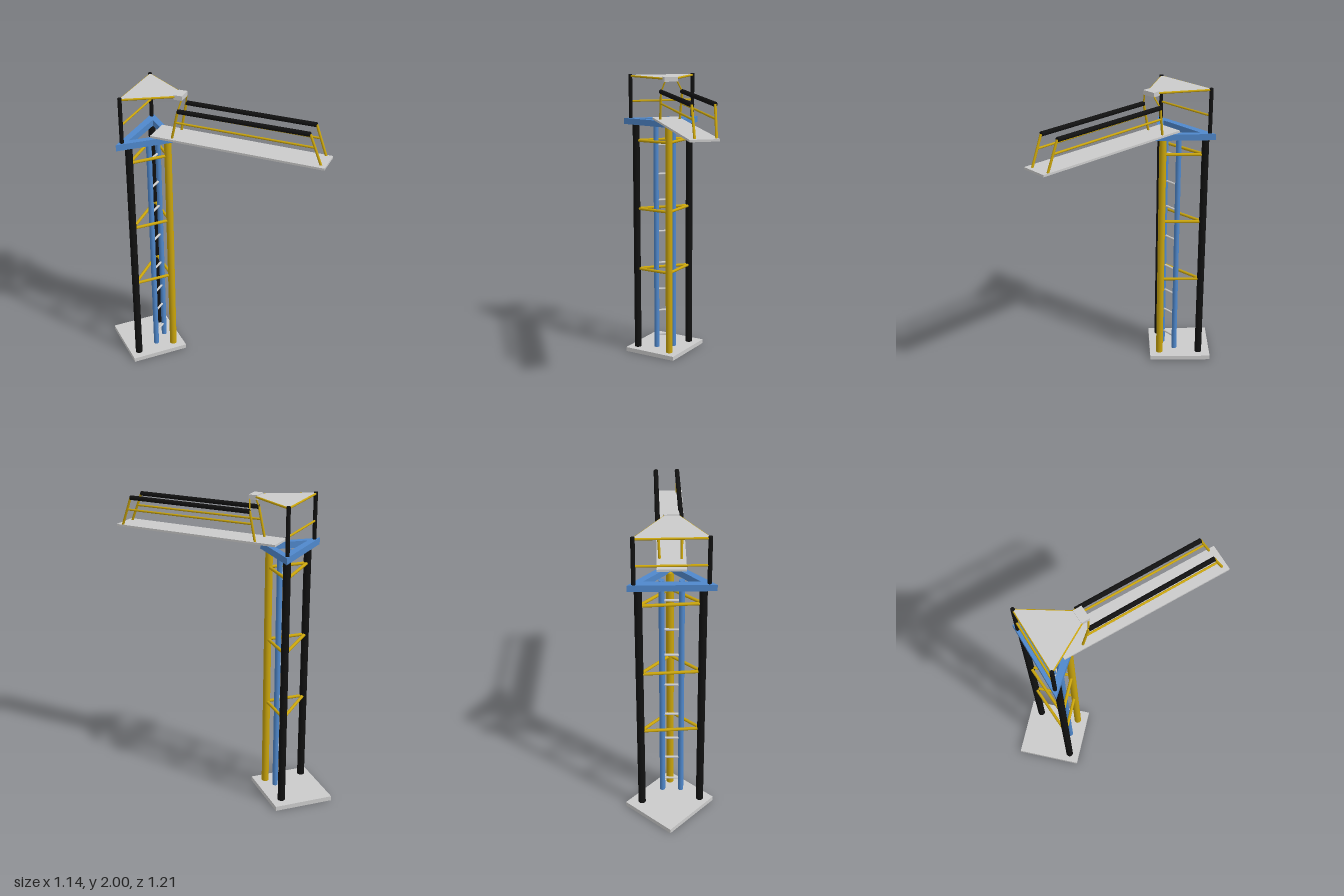
import * as THREE from 'three';

const mat = (color) => new THREE.MeshStandardMaterial({ color });
const GREY = mat(0xcccccc), BLACK = mat(0x111111), YELLOW = mat(0xc9a40c), BLUE = mat(0x4f88cc);
const V = (x, y, z) => new THREE.Vector3(x, y, z);

export function createModel() {
  const model = new THREE.Group();

  const add = (name, geometry, material) => {
    const mesh = new THREE.Mesh(geometry, material);
    mesh.name = name;
    model.add(mesh);
    return mesh;
  };

  // Round bar between two points
  const bar = (name, a, b, r, material, sides = 16) => {
    const dir = b.clone().sub(a);
    const mesh = add(name, new THREE.CylinderGeometry(r, r, dir.length(), sides), material);
    mesh.position.copy(a).lerp(b, 0.5);
    mesh.quaternion.setFromUnitVectors(V(0, 1, 0), dir.normalize());
    return mesh;
  };

  // Flat slab from [x, z] corners, with an optional hole
  const slab = (name, points, y0, y1, material, hole) => {
    const toPath = ([x, z]) => new THREE.Vector2(x, -z);
    const shape = new THREE.Shape(points.map(toPath));
    if (hole) shape.holes.push(new THREE.Path(hole.map(toPath)));
    const geo = new THREE.ExtrudeGeometry(shape, { depth: y1 - y0, bevelEnabled: false });
    geo.rotateX(-Math.PI / 2);
    add(name, geo, material).position.y = y0;
  };

  // Base plate
  slab('basePlate', [[-0.545, -0.177], [-0.148, -0.177], [-0.148, -0.605], [-0.545, -0.605]], 0, 0.03, GREY);

  // Three legs with triangular bracing
  const legs = [[-0.485, -0.245], [-0.22, -0.245], [-0.22, -0.525]];
  legs.forEach(([x, z], i) =>
    bar('leg', V(x, 0.03, z), V(x, 1.66, z), 0.024, i === 1 ? YELLOW : BLACK, 24));
  for (const y of [0.62, 1.06, 1.545]) {
    legs.forEach(([x, z], i) => {
      const [x2, z2] = legs[(i + 1) % 3];
      bar('legBrace', V(x, y, z), V(x2, y, z2), 0.01, YELLOW);
    });
  }

  // Ladder inside the legs
  const rails = [[-0.34, -0.272], [-0.248, -0.352]];
  for (const [x, z] of rails) bar('ladderRail', V(x, 0.045, z), V(x, 1.66, z), 0.018, BLUE);
  for (const y of [0.14, 0.32, 0.48, 0.675, 0.905, 1.13, 1.315, 1.52]) {
    bar('ladderRung', V(rails[0][0], y, rails[0][1]), V(rails[1][0], y, rails[1][1]), 0.008, GREY, 12);
  }

  // Open triangular platform frame
  slab('platformFrame', [[-0.575, -0.228], [-0.18, -0.195], [-0.19, -0.588]], 1.655, 1.697, BLUE,
    [[-0.475, -0.262], [-0.222, -0.24], [-0.227, -0.485]]);

  // Upper posts and the rail between them
  const posts = [[-0.528, -0.245], [-0.21, -0.55]];
  for (const [x, z] of posts) bar('roofPost', V(x, 1.69, z), V(x, 1.998, z), 0.013, BLACK);
  const across = (name, y, r) =>
    bar(name, V(posts[0][0], y, posts[0][1]), V(posts[1][0], y, posts[1][1]), r, YELLOW);
  across('guardRail', 1.815, 0.007);

  // Tapered roof with edge rails
  const nose = [[-0.205, -0.15], [-0.145, -0.21]];
  slab('roof', [posts[0], nose[0], nose[1], posts[1]], 1.982, 1.994, GREY);
  across('roofBackRail', 1.987, 0.007);
  posts.forEach(([x, z], i) =>
    bar('roofSideRail', V(x, 1.987, z), V(nose[i][0], 1.987, nose[i][1]), 0.007, YELLOW));

  // Block at the tip of the roof
  const block = add('roofBlock', new THREE.BoxGeometry(0.092, 0.03, 0.056), GREY);
  block.position.set(-0.158, 1.985, -0.163);
  block.rotation.y = Math.PI / 4;

  // Walkway deck
  const deck = add('walkwayDeck', new THREE.BoxGeometry(0.18, 0.014, 1.147), GREY);
  deck.position.set(0.1125, 1.708, 0.1275);
  deck.rotation.y = Math.atan2(0.68, 0.733);

  // Handrails: top ends and post feet for both sides
  const sides = [
    { a: [-0.2, -0.115], b: [0.39, 0.505], footA: [-0.228, -0.148], footB: [0.442, 0.56], hang: [-0.17, -0.12] },
    { a: [-0.098, -0.218], b: [0.49, 0.405], footA: [-0.127, -0.235], footB: [0.533, 0.463], hang: [-0.113, -0.175] },
  ];
  const at = ([x, z], y) => V(x, y, z);
  for (const s of sides) {
    const a = at(s.a, 1.903), b = at(s.b, 1.903);
    const fa = at(s.footA, 1.712), fb = at(s.footB, 1.712);
    bar('handrail', a, b, 0.015, BLACK);
    bar('handrailPost', fa, a, 0.008, YELLOW);
    bar('handrailPost', fb, b, 0.008, YELLOW);
    bar('middleRail', fa.clone().lerp(a, 0.59), fb.clone().lerp(b, 0.57), 0.007, YELLOW);
    bar('roofHanger', a, at(s.hang, 1.975), 0.005, YELLOW, 10);
  }

  return model;
}
